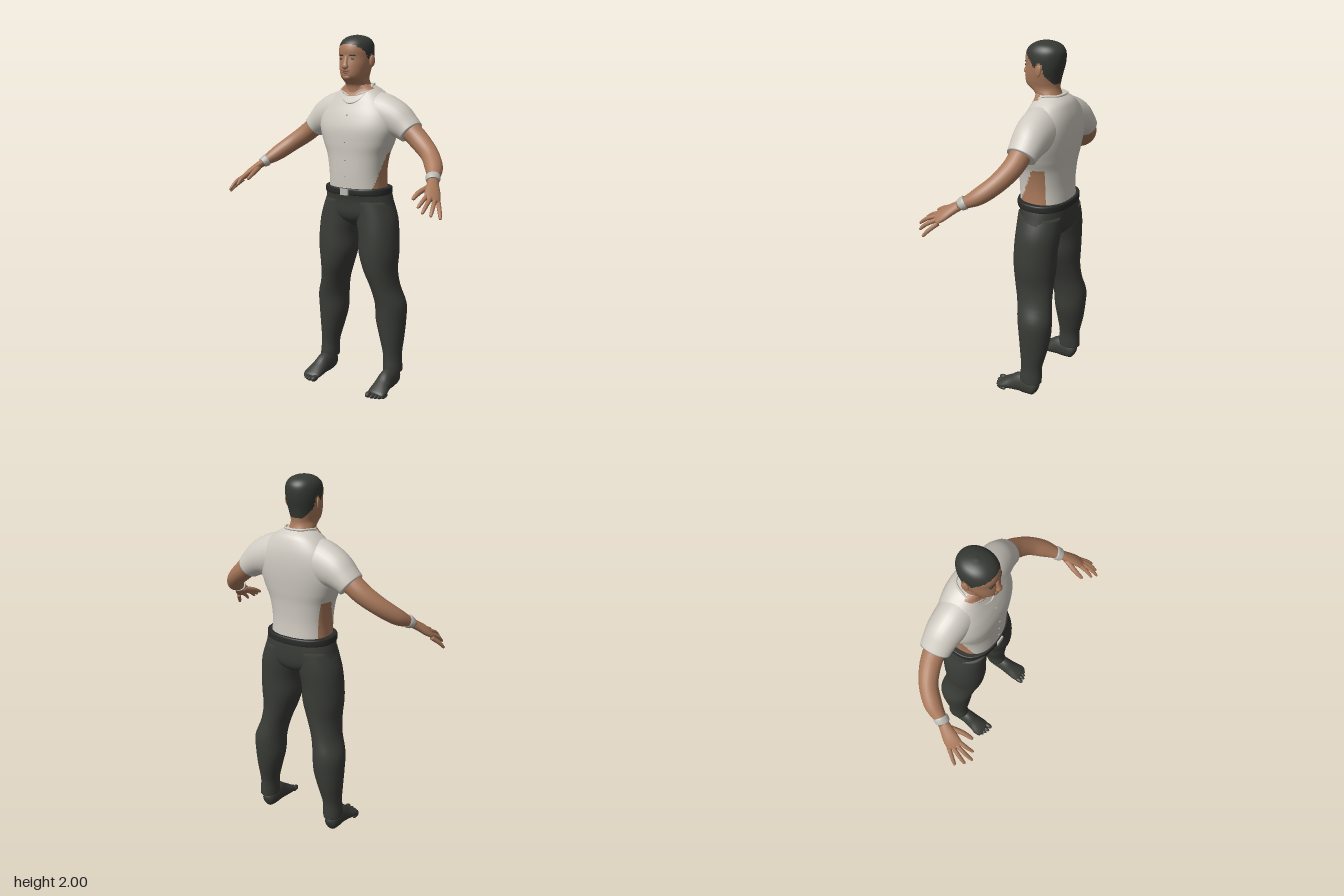
import * as THREE from 'three';

const V = (x, y, z) => new THREE.Vector3(x, y, z);

// Smoothly subdivide a list of number rows (Catmull-Rom)
function smooth(rows, sub) {
  const out = [];
  const at = i => rows[Math.max(0, Math.min(rows.length - 1, i))];
  for (let i = 0; i < rows.length - 1; i++) {
    for (let s = 0; s < sub; s++) {
      const t = s / sub;
      out.push(at(i).map((b, k) => {
        const a = at(i - 1)[k], c = at(i + 1)[k], d = at(i + 2)[k];
        return b + 0.5 * t * (c - a + t * (2 * a - 5 * b + 4 * c - d + t * (3 * (b - c) + d - a)));
      }));
    }
  }
  out.push(rows[rows.length - 1]);
  return out;
}

// Closed surface through rings of points; pick(point) chooses a material group
function skinRings(rings, pick = () => 0) {
  const n = rings[0].length, pos = [], lists = [[], []];
  rings.forEach(r => r.forEach(p => pos.push(p.x, p.y, p.z)));
  for (let i = 0; i < rings.length - 1; i++) {
    for (let j = 0; j < n; j++) {
      const k = (j + 1) % n, a = i * n + j, b = i * n + k;
      const mid = rings[i][j].clone().add(rings[i + 1][k]).multiplyScalar(0.5);
      lists[pick(mid)].push(a, b, a + n, b, b + n, a + n);
    }
  }
  for (const end of [0, rings.length - 1]) {
    const c = pos.length / 3, mid = V(0, 0, 0);
    rings[end].forEach(p => mid.addScaledVector(p, 1 / n));
    pos.push(mid.x, mid.y, mid.z);
    for (let j = 0; j < n; j++) {
      const a = end * n + j, b = end * n + (j + 1) % n;
      lists[pick(mid)].push(c, ...(end ? [a, b] : [b, a]));
    }
  }
  const g = new THREE.BufferGeometry();
  g.setAttribute('position', new THREE.Float32BufferAttribute(pos, 3));
  g.setIndex([...lists[0], ...lists[1]]);
  g.addGroup(0, lists[0].length, 0);
  g.addGroup(lists[0].length, lists[1].length, 1);
  g.computeVertexNormals();
  return g;
}

const sgnPow = (c, p) => Math.sign(c) * Math.abs(c) ** (2 / p);

// Upright loft, rows from bottom to top: [y, centreX, halfWidth, zFront, zBack]
function loft(rows, { n = 32, sub = 4, p = 2, pick } = {}) {
  return skinRings(smooth(rows, sub).map(([y, cx, w, f, b]) =>
    Array.from({ length: n }, (_, j) => {
      const t = j / n * Math.PI * 2;
      return V(cx + w * sgnPow(Math.sin(t), p), y, (f + b) / 2 + (f - b) / 2 * sgnPow(Math.cos(t), p));
    })), pick);
}

// Limb along a path, points [x, y, z, sideRadius, otherRadius]
function limb(pts, side, n = 16, sub = 4) {
  const rows = smooth(pts, sub), c = rows.map(r => V(r[0], r[1], r[2]));
  return skinRings(rows.map((r, i) => {
    const T = c[Math.min(i + 1, c.length - 1)].clone().sub(c[Math.max(i - 1, 0)]).normalize();
    const u = side.clone().addScaledVector(T, -side.dot(T)).normalize(), v = T.clone().cross(u);
    return Array.from({ length: n }, (_, j) => {
      const t = j / n * Math.PI * 2;
      return c[i].clone().addScaledVector(u, r[3] * Math.cos(t)).addScaledVector(v, r[4] * Math.sin(t));
    });
  }));
}

function ball(x, y, z, rx, ry, rz) {
  return new THREE.SphereGeometry(1, 16, 12).scale(rx, ry, rz).translate(x, y, z);
}

function mirrored(geo) {
  const g = geo.clone().scale(-1, 1, 1), ix = g.index.array;
  for (let i = 0; i < ix.length; i += 3) [ix[i + 1], ix[i + 2]] = [ix[i + 2], ix[i + 1]];
  g.computeVertexNormals();
  return g;
}

export function createModel() {
  const root = new THREE.Group();
  const mat = (name, color) => {
    const m = new THREE.MeshStandardMaterial({ color });
    m.name = name;
    return m;
  };
  const skin = mat('skin', 0xa9795b), cloth = mat('shirtCloth', 0xcfcac1), dark = mat('trouserCloth', 0x3a3c37);
  const hair = mat('hair', 0x353833), belt = mat('beltLeather', 0x2a2b29), metal = mat('metal', 0xb9b7b1);
  const lip = mat('lips', 0x8c5c49);
  const add = (name, geo, m) => {
    const mesh = new THREE.Mesh(geo, m);
    mesh.name = name;
    root.add(mesh);
  };
  const pair = (name, geo, m) => {
    add(name + 'Left', geo, m);
    add(name + 'Right', mirrored(geo), m);
  };

  // Shirt body, bare at the flanks and at the open neck
  const bare = q => {
    const flank = Math.abs(q.x) > 0.1 && q.y < 1.37 && q.z > -0.188 && q.z < -0.035 - (q.y - 1.17) * 0.45;
    const neck = q.z > -0.11 && q.y > 1.672 + 4 * q.x * q.x;
    return flank || neck ? 1 : 0;
  };
  add('shirt', loft([
    [1.15, 0, 0.168, 0.015, -0.252], [1.25, 0, 0.165, 0.02, -0.246], [1.35, 0, 0.181, 0.022, -0.25],
    [1.42, 0, 0.21, 0.025, -0.258], [1.5, 0, 0.235, 0.023, -0.265], [1.57, 0, 0.23, 0.004, -0.266],
    [1.63, 0, 0.198, -0.022, -0.26], [1.68, 0, 0.153, -0.045, -0.246], [1.71, 0, 0.115, -0.055, -0.23],
    [1.735, 0, 0.076, -0.052, -0.2]], { n: 96, sub: 8, p: 2.35, pick: bare }), [cloth, skin]);

  // Sleeves
  pair('sleeve', limb([[0.09, 1.583, -0.14, 0.105, 0.12], [0.16, 1.568, -0.142, 0.102, 0.117],
    [0.23, 1.547, -0.147, 0.094, 0.1], [0.285, 1.513, -0.149, 0.085, 0.078], [0.318, 1.486, -0.148, 0.08, 0.068]],
  V(0, 0, 1), 28), cloth);

  // Collar seams
  const seam = (low, r) => new THREE.TubeGeometry(new THREE.CatmullRomCurve3([
    V(0, low, -0.022 - (low - 1.635) * 0.75), V(0.05, low + 0.018, -0.038 - (low - 1.635) * 0.5),
    V(0.082, 1.7, -0.075), V(0.082, 1.733, -0.13), V(0.05, 1.737, -0.193), V(0, 1.737, -0.205),
    V(-0.05, 1.737, -0.193), V(-0.082, 1.733, -0.13), V(-0.082, 1.7, -0.075),
    V(-0.05, low + 0.018, -0.038 - (low - 1.635) * 0.5)], true), 64, r, 8, true);
  add('collarLower', seam(1.637, 0.005), cloth);
  add('collarUpper', seam(1.67, 0.006), cloth);

  // Shirt buttons
  for (const [y, z] of [[1.24, 0.02], [1.33, 0.022], [1.43, 0.026], [1.575, 0.003]]) {
    add('button', ball(0, y, z, 0.005, 0.005, 0.004), metal);
  }

  // Trousers, belt and buckle
  add('trouserSeat', loft([[0.95, 0, 0.03, -0.07, -0.18], [0.985, 0, 0.12, -0.025, -0.235],
    [1.03, 0, 0.21, -0.004, -0.255], [1.1, 0, 0.203, 0.002, -0.26], [1.16, 0, 0.188, 0.018, -0.258]],
  { n: 48, p: 2.3 }), dark);
  add('belt', loft([[1.136, 0, 0.192, 0.018, -0.262], [1.142, 0, 0.196, 0.024, -0.266],
    [1.168, 0, 0.195, 0.025, -0.266], [1.174, 0, 0.19, 0.019, -0.261]], { n: 48, p: 2.3 }), belt);
  add('buckle', new THREE.BoxGeometry(0.05, 0.036, 0.014).translate(0, 1.154, 0.025), metal);
  pair('trouserLeg', loft([
    [0.1, 0.223, 0.052, -0.08, -0.212], [0.13, 0.222, 0.052, -0.08, -0.212], [0.2, 0.218, 0.052, -0.085, -0.212],
    [0.3, 0.209, 0.069, -0.075, -0.235], [0.4, 0.2, 0.086, -0.065, -0.25], [0.5, 0.198, 0.088, -0.055, -0.255],
    [0.6, 0.172, 0.08, -0.035, -0.24], [0.7, 0.148, 0.093, -0.01, -0.235], [0.8, 0.137, 0.114, 0, -0.24],
    [0.9, 0.134, 0.114, 0, -0.244], [1, 0.118, 0.118, -0.003, -0.251], [1.1, 0.1, 0.1, -0.004, -0.25]]), dark);

  // Feet and toes
  pair('foot', limb([[0.222, 0.045, -0.188, 0.012, 0.02], [0.222, 0.05, -0.175, 0.034, 0.046],
    [0.222, 0.063, -0.13, 0.042, 0.063], [0.222, 0.062, -0.08, 0.043, 0.062], [0.224, 0.045, -0.03, 0.048, 0.045],
    [0.228, 0.031, 0.015, 0.055, 0.031], [0.23, 0.022, 0.045, 0.053, 0.02], [0.23, 0.018, 0.056, 0.04, 0.012]],
  V(1, 0, 0), 20), dark);
  [[0.191, 0.016, 0.092], [0.217, 0.012, 0.09], [0.238, 0.011, 0.082], [0.257, 0.011, 0.071], [0.273, 0.01, 0.056]]
    .forEach(([x, r, z]) => pair('toe', ball(x, r + 0.002, z - 0.03, r, r + 0.002, 0.03), dark));

  // Arms, hands and wristbands
  pair('arm', limb([[0.24, 1.56, -0.147, 0.055, 0.055], [0.31, 1.5, -0.145, 0.057, 0.056],
    [0.38, 1.443, -0.135, 0.055, 0.053], [0.46, 1.382, -0.098, 0.049, 0.048], [0.52, 1.325, -0.035, 0.047, 0.043],
    [0.55, 1.29, 0.023, 0.034, 0.03], [0.565, 1.27, 0.058, 0.029, 0.022]], V(1, 0, -1), 24), skin);
  const across = V(0.8, -0.5, -0.3);
  pair('wristband', limb([[0.549, 1.29, 0.027, 0.037, 0.033], [0.552, 1.287, 0.032, 0.039, 0.035],
    [0.56, 1.277, 0.048, 0.037, 0.031], [0.563, 1.273, 0.053, 0.033, 0.028]], V(1, 0, -1), 24), metal);
  pair('palm', limb([[0.56, 1.277, 0.046, 0.028, 0.022], [0.58, 1.253, 0.083, 0.034, 0.021],
    [0.602, 1.222, 0.125, 0.043, 0.02], [0.617, 1.2, 0.156, 0.042, 0.014], [0.622, 1.193, 0.165, 0.034, 0.008]],
  across), skin);
  const fingers = {
    thumb: [[0.565, 1.25, 0.085], [0.545, 1.229, 0.155], [0.538, 1.2, 0.215]],
    indexFinger: [[0.59, 1.222, 0.145], [0.592, 1.198, 0.205], [0.587, 1.168, 0.25]],
    middleFinger: [[0.608, 1.21, 0.15], [0.62, 1.183, 0.217], [0.622, 1.146, 0.267]],
    ringFinger: [[0.626, 1.196, 0.148], [0.646, 1.165, 0.204], [0.655, 1.13, 0.242]],
    littleFinger: [[0.64, 1.182, 0.135], [0.669, 1.146, 0.174], [0.687, 1.113, 0.2]],
  };
  for (const [name, [a, b, c]] of Object.entries(fingers)) {
    const r = name === 'thumb' ? 0.015 : 0.012;
    const near = c.map((v, i) => v + (b[i] - v) * 0.15);
    pair(name, limb([[...a, r, r], [...b, r * 0.9, r * 0.9], [...near, r * 0.65, r * 0.6], [...c, 0.002, 0.002]],
      across, 10), skin);
  }

  // Head and neck, with a cropped hairline that dips in front of and behind the ear
  const line = [[0.05, 1.952], [0, 1.948], [-0.055, 1.908], [-0.072, 1.872], [-0.086, 1.872], [-0.092, 1.9],
    [-0.118, 1.9], [-0.128, 1.84], [-0.165, 1.79], [-0.3, 1.785]];
  const hairy = q => {
    const i = Math.max(1, line.findIndex(l => l[0] <= q.z));
    const [z0, y0] = line[i - 1], [z1, y1] = line[i];
    return q.y > y0 + (y1 - y0) * (q.z - z0) / (z1 - z0) ? 1 : 0;
  };
  add('head', loft([
    [1.65, 0, 0.078, -0.045, -0.21], [1.7, 0, 0.073, -0.05, -0.2], [1.735, 0, 0.068, -0.042, -0.182],
    [1.758, 0, 0.065, -0.012, -0.175], [1.775, 0, 0.067, 0.01, -0.174], [1.8, 0, 0.074, 0.016, -0.177],
    [1.84, 0, 0.083, 0.014, -0.186], [1.88, 0, 0.088, 0.009, -0.197], [1.92, 0, 0.09, 0.011, -0.202],
    [1.955, 0, 0.084, 0.001, -0.198], [1.98, 0, 0.066, -0.025, -0.177], [1.994, 0, 0.038, -0.058, -0.142],
    [2, 0, 0.004, -0.095, -0.104]], { n: 72, sub: 6, p: 2.1, pick: hairy }), [skin, hair]);

  // Face details
  add('nose', limb([[0, 1.824, 0.01, 0.012, 0.006], [0, 1.832, 0.018, 0.019, 0.016],
    [0, 1.85, 0.016, 0.013, 0.012], [0, 1.89, 0.007, 0.009, 0.007]], V(1, 0, 0)), skin);
  add('upperLip', ball(0, 1.812, 0.014, 0.026, 0.005, 0.008), lip);
  add('lowerLip', ball(0, 1.802, 0.014, 0.021, 0.005, 0.008), lip);
  add('chin', ball(0, 1.777, 0, 0.026, 0.016, 0.016), skin);
  pair('eye', ball(0.034, 1.874, 0.001, 0.013, 0.005, 0.004), hair);
  pair('brow', ball(0, 0, 0, 0.02, 0.004, 0.005).rotateY(0.35).translate(0.036, 1.892, 0.002), hair);
  pair('ear', ball(0, 0, 0, 0.008, 0.032, 0.019).rotateY(-0.3).rotateX(-0.15).translate(0.093, 1.862, -0.105), skin);
  return root;
}
